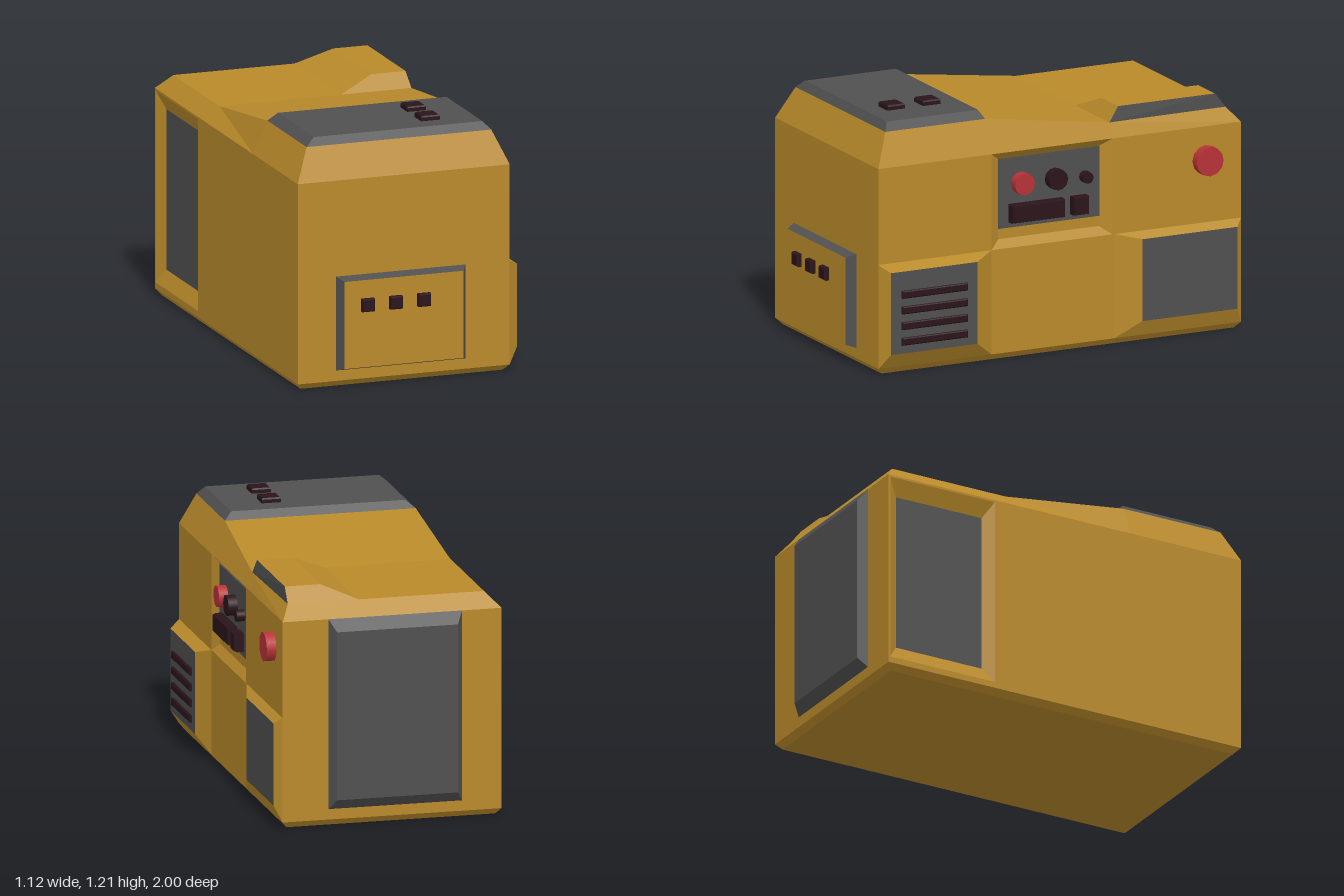
import * as THREE from 'three';

const paint = (color) => new THREE.MeshStandardMaterial({ color });
const OCHRE = paint(0xb98a2a), GREY = paint(0x505050), DARK = paint(0x2a141a), RED = paint(0xb83238);

// Four corners, counter-clockwise seen from outside, on a plane facing sign * axis.
// x planes take z then y ranges, z planes x then y, y planes x then z.
function rect(axis, sign, d, u0, u1, v0, v1) {
  const flip = axis === 'z' ? sign < 0 : sign > 0;
  const uv = flip ? [[u1, v0], [u0, v0], [u0, v1], [u1, v1]] : [[u0, v0], [u1, v0], [u1, v1], [u0, v1]];
  if (axis === 'x') return uv.map(([z, y]) => [d, y, z]);
  if (axis === 'z') return uv.map(([x, y]) => [x, y, d]);
  return uv.map(([x, z]) => [x, d, z]).reverse().map((p, i, a) => (sign > 0 ? a[3 - i] : a[i])).reverse();
}

// Flat-faced mesh from quads
function quadMesh(name, quads, material) {
  const pos = quads.flatMap(([a, b, c, d]) => [a, b, c, a, c, d].flat());
  const geo = new THREE.BufferGeometry();
  geo.setAttribute('position', new THREE.Float32BufferAttribute(pos, 3));
  geo.computeVertexNormals();
  const mesh = new THREE.Mesh(geo, material);
  mesh.name = name;
  return mesh;
}

// Side quads joining successive rings
function bands(rings) {
  const out = [];
  for (let r = 0; r + 1 < rings.length; r++) {
    const a = rings[r], b = rings[r + 1];
    for (let i = 0; i < 4; i++) {
      const j = (i + 1) % 4;
      out.push([a[i], a[j], b[j], b[i]]);
    }
  }
  return out;
}

// Stepped panel or pocket: joined rings closed by a face on the last ring
function panel(name, rings, edge, face = edge) {
  const g = new THREE.Group();
  g.name = name;
  g.add(quadMesh(name + 'Edge', bands(rings), edge));
  g.add(quadMesh(name + 'Face', [rings[rings.length - 1]], face));
  return g;
}

// Small bevelled key standing on a plane
function key(name, axis, sign, d, h, u, v, w, t) {
  const ring = (e, k) => rect(axis, sign, e, u - w / 2 + k, u + w / 2 - k, v - t / 2 + k, v + t / 2 - k);
  return panel(name, [ring(d, 0), ring(d + sign * h * 0.7, 0), ring(d + sign * h, 0.005)], DARK);
}

function knob(name, x0, x1, y, z, r, material) {
  const mesh = new THREE.Mesh(new THREE.CylinderGeometry(r, r, x1 - x0, 12), material);
  mesh.rotation.z = -Math.PI / 2;
  mesh.position.set((x0 + x1) / 2, y, z);
  mesh.name = name;
  return mesh;
}

export function createModel() {
  const model = new THREE.Group();
  model.name = 'consoleUnit';
  const L = -0.56, R = 0.49, F = 0.93, B = -0.96, LOW = 0.03, HIGH = 0.99;

  // Base chamfer and underside
  const foot = [[-0.535, 0, 0.9], [0.465, 0, 0.9], [0.465, 0, -0.935], [-0.535, 0, -0.935]];
  const sill = [[L, LOW, F], [R, LOW, F], [R, LOW, B], [L, LOW, B]];
  model.add(quadMesh('base', [...bands([foot, sill]), [...foot].reverse()], OCHRE));

  // Front and back walls
  model.add(quadMesh('endWalls', [rect('z', 1, F, L, R, LOW, HIGH), rect('z', -1, B, L, R, LOW, HIGH)], OCHRE));

  // Left wall with the control recess
  model.add(panel('controlWall', [
    rect('x', 1, R, B, F, LOW, HIGH),
    rect('x', 1, R, -0.29, 0.34, 0.53, HIGH),
    rect('x', 1, 0.46, -0.235, 0.29, 0.57, 0.955),
  ], OCHRE));

  // Right wall with a recessed rear panel
  model.add(panel('plainWall', [
    rect('x', -1, L, B, F, LOW, HIGH),
    rect('x', -1, L, -0.95, -0.39, 0.06, 0.98),
    rect('x', -1, L + 0.035, -0.9, -0.44, 0.13, 0.9),
  ], OCHRE, GREY));

  // Sloping roof with chamfered edges: [base z, top z, top y, top left x, top right x]
  const stations = [
    [F, 0.86, 1.145, -0.49, 0.425],
    [0.34, 0.34, 1.145, -0.49, 0.425],
    [-0.29, -0.29, 1.06, -0.49, 0.46],
    [B, -0.9, 1.06, -0.49, 0.45],
  ].map(([zb, zt, y, xl, xr]) => [[L, HIGH, zb], [xl, y, zt], [xr, y, zt], [R, HIGH, zb]]);
  const roof = [];
  for (let s = 0; s < 3; s++) {
    const a = stations[s], b = stations[s + 1];
    for (let i = 0; i < 3; i++) roof.push([a[i], a[i + 1], b[i + 1], b[i]]);
  }
  const [first, last] = [stations[0], stations[3]];
  roof.push([first[0], first[3], first[2], first[1]], last);
  model.add(quadMesh('roof', roof, OCHRE));

  // Raised hump at the rear of the roof with a grey outer side
  const humpLow = [[0.11, 1.06, -0.29], [0.46, 1.06, -0.29], [0.45, 1.06, -0.9], [0.11, 1.06, -0.9]];
  const humpTop = [[0.28, 1.13, -0.34], [0.45, 1.13, -0.34], [0.45, 1.13, -0.845], [0.28, 1.13, -0.845]];
  const humpSides = bands([humpLow, humpTop]);
  const [humpSide] = humpSides.splice(1, 1);
  model.add(quadMesh('roofHump', [...humpSides, humpTop], OCHRE));
  model.add(quadMesh('roofHumpSide', [humpSide], GREY));

  // Grey lid and its keys
  const level = (y, x0, x1, z0, z1) => [[x0, y, z1], [x1, y, z1], [x1, y, z0], [x0, y, z0]];
  model.add(panel('lid', [level(1.145, -0.49, 0.425, 0.34, 0.86), level(1.183, -0.445, 0.39, 0.36, 0.835)], GREY));
  for (const z of [0.51, 0.695]) {
    model.add(panel('lidKey', [
      level(1.18, 0.123, 0.215, z - 0.046, z + 0.046),
      level(1.2, 0.123, 0.215, z - 0.046, z + 0.046),
      level(1.207, 0.128, 0.21, z - 0.041, z + 0.041),
    ], DARK));
  }

  // Front panel with three keys
  model.add(panel('frontPanel', [
    rect('z', 1, F, -0.37, 0.27, 0.08, 0.53),
    rect('z', 1, 0.975, -0.345, 0.245, 0.095, 0.513),
  ], GREY, OCHRE));
  for (const x of [-0.232, -0.094, 0.046]) model.add(key('frontKey', 'z', 1, 0.975, 0.025, x, 0.395, 0.062, 0.062));

  // Back door
  model.add(panel('backDoor', [
    rect('z', -1, B, -0.37, 0.27, 0.08, 0.99),
    rect('z', -1, -1, -0.34, 0.24, 0.13, 0.935),
  ], GREY));

  // Side pods, the front one vented
  model.add(panel('frontPod', [
    rect('x', 1, R, 0.34, F, LOW, 0.53),
    rect('x', 1, 0.542, 0.44, 0.89, 0.105, 0.498),
  ], OCHRE, GREY));
  model.add(panel('rearPod', [
    rect('x', 1, R, B, -0.3, LOW, 0.53),
    rect('x', 1, 0.525, -0.925, -0.43, 0.105, 0.498),
  ], OCHRE, GREY));
  for (let i = 0; i < 4; i++) model.add(key('vent', 'x', 1, 0.542, 0.013, 0.665, 0.163 + i * 0.075, 0.34, 0.036));

  // Controls in the recess
  model.add(panel('controlPlate', [
    rect('x', 1, 0.46, -0.235, 0.29, 0.62, 0.955),
    rect('x', 1, 0.465, -0.235, 0.29, 0.62, 0.955),
  ], GREY));
  model.add(knob('redDial', 0.465, 0.51, 0.83, 0.175, 0.052, RED));
  model.add(knob('darkDial', 0.465, 0.51, 0.83, 0, 0.05, DARK));
  model.add(knob('smallDial', 0.465, 0.505, 0.82, -0.157, 0.028, DARK));
  model.add(key('display', 'x', 1, 0.465, 0.047, 0.1, 0.69, 0.275, 0.088));
  model.add(key('squareKey', 'x', 1, 0.465, 0.047, -0.123, 0.69, 0.08, 0.088));

  // Large red button near the back
  model.add(knob('redButton', R, 0.536, 0.83, -0.777, 0.07, RED));
  return model;
}
